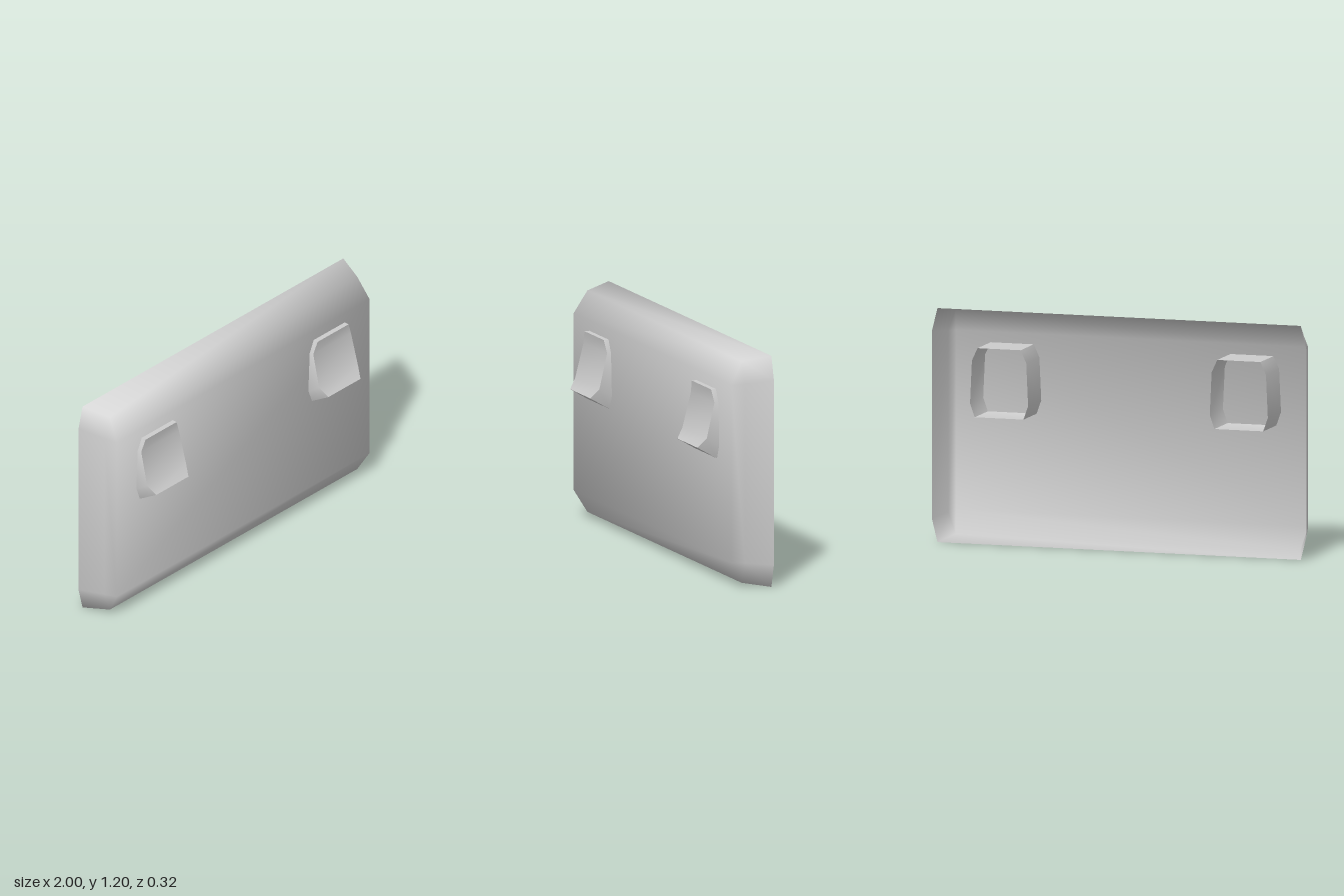
import * as THREE from 'three';
import { toCreasedNormals } from 'three/addons/utils/BufferGeometryUtils.js';

// Eight-cornered ring, mirrored in x; rows run bottom to top as [halfWidth, y, z]
function ring(rows) {
  const [a, b, c, d] = rows;
  const right = [a, b, c, d].map(([x, y, z]) => [x, y, z]);
  const left = [d, c, b, a].map(([x, y, z]) => [-x, y, z]);
  return [...right, ...left];
}

// Joins rings from back to front and closes the front, leaving the back open
function loft(rings, crease) {
  const positions = rings.flat(2);
  const index = [];
  const quad = (a, b, c, d) => index.push(a, b, c, a, c, d);
  for (let i = 0; i < rings.length - 1; i++) {
    for (let j = 0; j < 8; j++) {
      const k = (j + 1) % 8;
      quad(i * 8 + j, i * 8 + k, i * 8 + 8 + k, i * 8 + 8 + j);
    }
  }
  const f = (rings.length - 1) * 8;
  for (let j = 0; j < 3; j++) quad(f + 7 - j, f + j, f + j + 1, f + 6 - j);
  const geometry = new THREE.BufferGeometry();
  geometry.setAttribute('position', new THREE.Float32BufferAttribute(positions, 3));
  geometry.setIndex(index);
  return toCreasedNormals(geometry, crease);
}

export function createModel() {
  const model = new THREE.Group();
  model.name = 'switchPlate';
  const grey = new THREE.MeshStandardMaterial({ color: 0xcccccc, side: THREE.DoubleSide });
  grey.name = 'lightGrey';

  // Flared cover, open at the back, smoothly shaded
  const cover = new THREE.Mesh(loft([
    ring([[0.97, 0, -0.155], [1, 0.12, -0.155], [1, 1.08, -0.155], [0.97, 1.2, -0.155]]),
    ring([[0.92, 0.025, -0.012], [0.96, 0.135, -0.012], [0.96, 1.065, -0.012], [0.92, 1.175, -0.012]]),
    ring([[0.94, 0.14, 0.055], [0.94, 0.14, 0.055], [0.94, 1.06, 0.055], [0.94, 1.06, 0.055]]),
  ], Math.PI), grey);
  cover.name = 'coverPlate';
  model.add(cover);

  // Rocker buttons with hollow sleeves reaching to the back
  const sleeve = (z) => ring([[0.13, 0.65, z], [0.155, 0.72, z], [0.145, 0.94, z], [0.115, 1.005, z]]);
  const rocker = loft([
    sleeve(-0.158),
    sleeve(0.06),
    ring([[0.12, 0.71, 0.16], [0.145, 0.76, 0.12], [0.14, 0.94, 0.075], [0.115, 1.005, 0.082]]),
  ], 0.6);
  for (const side of [-1, 1]) {
    const button = new THREE.Mesh(rocker, grey);
    button.name = side > 0 ? 'leftRocker' : 'rightRocker';
    button.position.x = side * 0.64;
    model.add(button);
  }
  return model;
}
